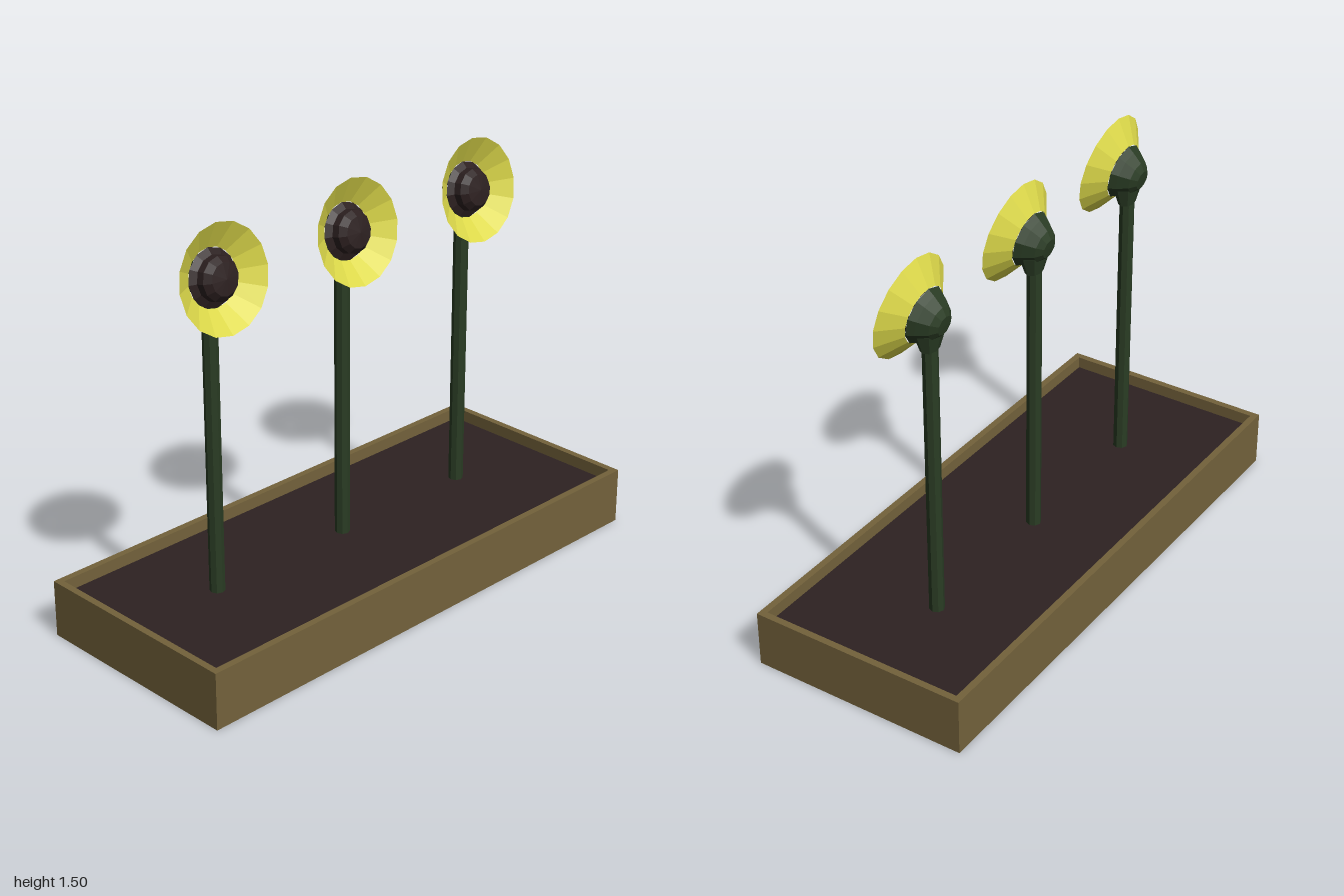
import * as THREE from 'three';

const material = (name, color) => {
  const m = new THREE.MeshStandardMaterial({ color });
  m.name = name;
  return m;
};

// Facets a geometry so every polygon reads as flat.
const faceted = (geometry) => {
  const g = geometry.toNonIndexed();
  g.computeVertexNormals();
  return g;
};

const lathe = (points, sides) =>
  faceted(new THREE.LatheGeometry(points.map(([r, y]) => new THREE.Vector2(r, y)), sides));

function part(parent, name, geometry, mat, x = 0, y = 0, z = 0) {
  const mesh = new THREE.Mesh(geometry, mat);
  mesh.name = name;
  mesh.position.set(x, y, z);
  parent.add(mesh);
  return mesh;
}

export function createModel() {
  const wood = material('wood', 0x73623b);
  const soil = material('soil', 0x2e2222);
  const green = material('stem green', 0x2a3c24);
  const yellow = material('petal yellow', 0xdcd84a);
  yellow.side = THREE.DoubleSide;
  const seed = material('seed brown', 0x2c2020);

  const model = new THREE.Group();
  model.name = 'flowerPlanter';

  // Planter: open rectangular frame, floor and soil
  const rect = (Kind, w, d) => {
    const p = new Kind();
    p.moveTo(-w, -d).lineTo(w, -d).lineTo(w, d).lineTo(-w, d).closePath();
    return p;
  };
  const frame = rect(THREE.Shape, 1, 0.41);
  frame.holes.push(rect(THREE.Path, 0.975, 0.385));
  const walls = new THREE.ExtrudeGeometry(frame, { depth: 0.21, bevelEnabled: false });
  walls.rotateX(-Math.PI / 2);
  part(model, 'planterWalls', walls, wood);
  part(model, 'planterFloor', new THREE.BoxGeometry(1.95, 0.02, 0.77), wood, 0, 0.01, 0);
  part(model, 'soil', new THREE.BoxGeometry(1.95, 0.145, 0.77), soil, 0, 0.0925, 0);

  // Shared flower geometry; head profiles run along the facing axis
  const stemGeo = faceted(new THREE.CylinderGeometry(0.027, 0.027, 1.06, 8));
  const neckGeo = faceted(new THREE.CylinderGeometry(0.045, 0.027, 0.07, 8));
  const petalGeo = lathe([[0.1, -0.06], [0.186, 0]], 16);
  const calyxGeo = lathe([[0, -0.14], [0.035, -0.139], [0.06, -0.12], [0.085, -0.085], [0.1, -0.06]], 10);
  const seedGeo = lathe([[0.1, -0.06], [0.077, -0.045], [0.075, -0.018], [0.055, 0.004], [0, 0.012]], 12);

  for (const [name, x] of [['rightFlower', -0.595], ['middleFlower', 0], ['leftFlower', 0.595]]) {
    const flower = new THREE.Group();
    flower.name = name;
    flower.position.x = x;
    model.add(flower);

    part(flower, 'stem', stemGeo, green, 0, 0.69, -0.038);
    part(flower, 'neck', neckGeo, green, 0, 1.225, -0.038).scale.x = 1.5;

    // Head tilted slightly upward
    const head = new THREE.Group();
    head.name = 'flowerHead';
    head.position.set(0, 1.318, 0.04);
    head.rotation.x = Math.PI / 2 - 0.19;
    flower.add(head);
    part(head, 'petals', petalGeo, yellow);
    part(head, 'calyx', calyxGeo, green);
    part(head, 'seedCentre', seedGeo, seed);
  }
  return model;
}
